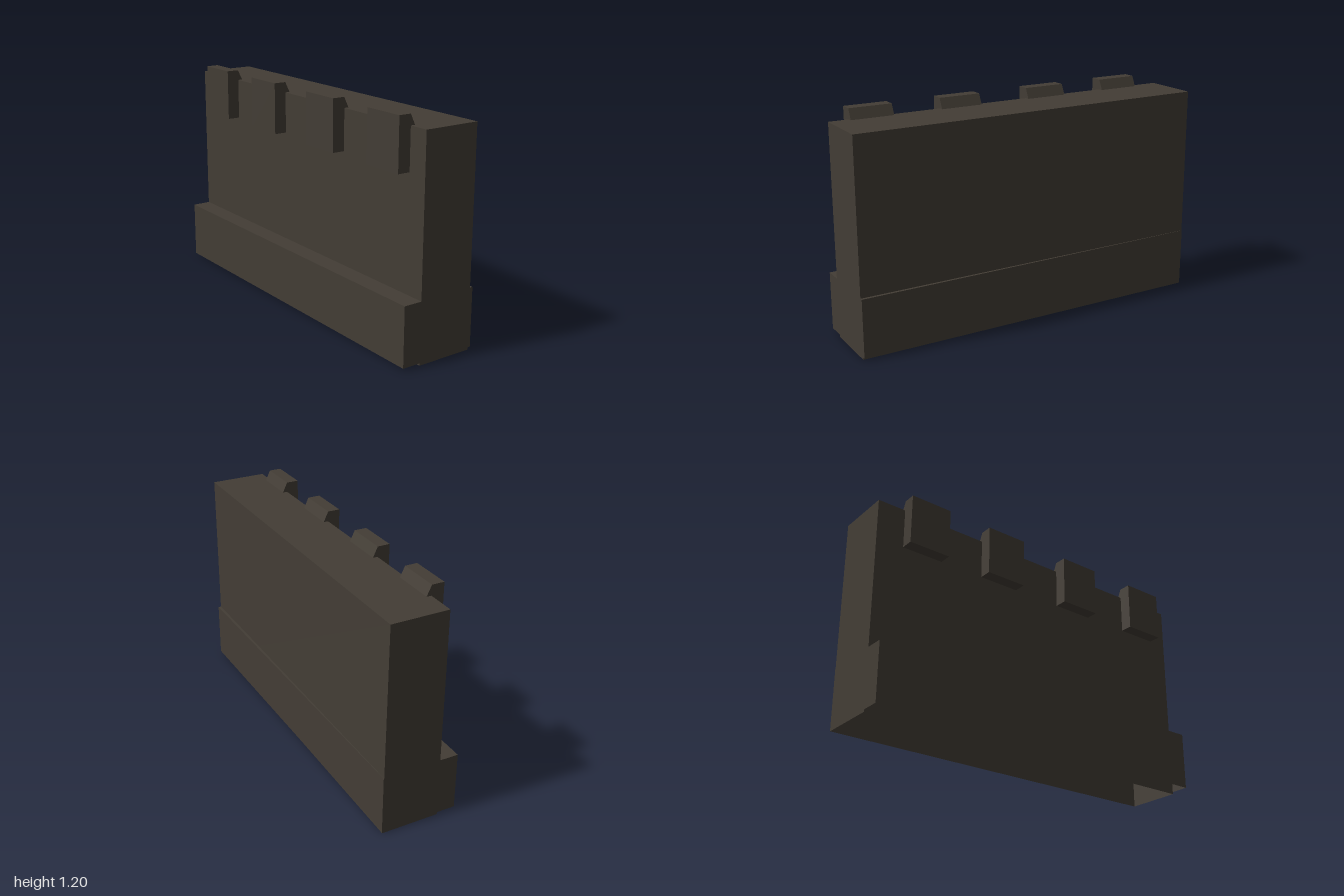
import * as THREE from 'three';

const stone = new THREE.MeshStandardMaterial({ color: 0x433d35, side: THREE.DoubleSide });
stone.name = 'dark stone';

// Hollow box with no underside, spanning the given y and z ranges over the full length
function openBox(name, y0, y1, z0, z1, adjust) {
  let geo = new THREE.BoxGeometry(2, y1 - y0, z1 - z0);
  geo.translate(0, (y0 + y1) / 2, (z0 + z1) / 2);
  const index = Array.from(geo.index.array);
  index.splice(18, 6); // bottom face
  geo.setIndex(index);
  geo.clearGroups();
  if (adjust) {
    const p = geo.attributes.position;
    for (let i = 0; i < p.count; i++) p.setZ(i, adjust(p.getX(i), p.getY(i), p.getZ(i)));
    geo = geo.toNonIndexed();
    geo.computeVertexNormals();
  }
  const mesh = new THREE.Mesh(geo, stone);
  mesh.name = name;
  return mesh;
}

// Block with a chamfered back, overhanging the front of the wall
function merlon(x0, x1) {
  const profile = [[0.18, 0.925], [0.18, 1.198], [0.113, 1.198], [0.083, 1.135], [0.083, 0.925]];
  const shape = new THREE.Shape(profile.map(([z, y]) => new THREE.Vector2(-z, y)));
  const geo = new THREE.ExtrudeGeometry(shape, { depth: x1 - x0, bevelEnabled: false });
  geo.rotateY(Math.PI / 2).translate(x0, 0, 0);
  const mesh = new THREE.Mesh(geo, stone);
  mesh.name = 'merlon';
  return mesh;
}

export function createModel() {
  const model = new THREE.Group();
  model.name = 'battlementWall';

  // Main wall, its back leaning out slightly at the lower right corner
  model.add(openBox('wall', 0, 1.143, -0.197, 0.112,
    (x, y, z) => (z < 0 && x < 0 && y < 0.5 ? -0.203 : z)));

  // Plinth along the front, and a very shallow one tapering along the back
  model.add(openBox('frontPlinth', 0.012, 0.326, 0.112, 0.213));
  model.add(openBox('backPlinth', 0.012, 0.326, -0.213, -0.197,
    (x, y, z) => (z < -0.2 && x < 0 ? -0.204 : z)));

  // Four merlons along the top front edge
  const merlons = new THREE.Group();
  merlons.name = 'merlons';
  for (const x of [-0.845, -0.36, 0.16, 0.66]) merlons.add(merlon(x, x + 0.232));
  model.add(merlons);

  return model;
}
